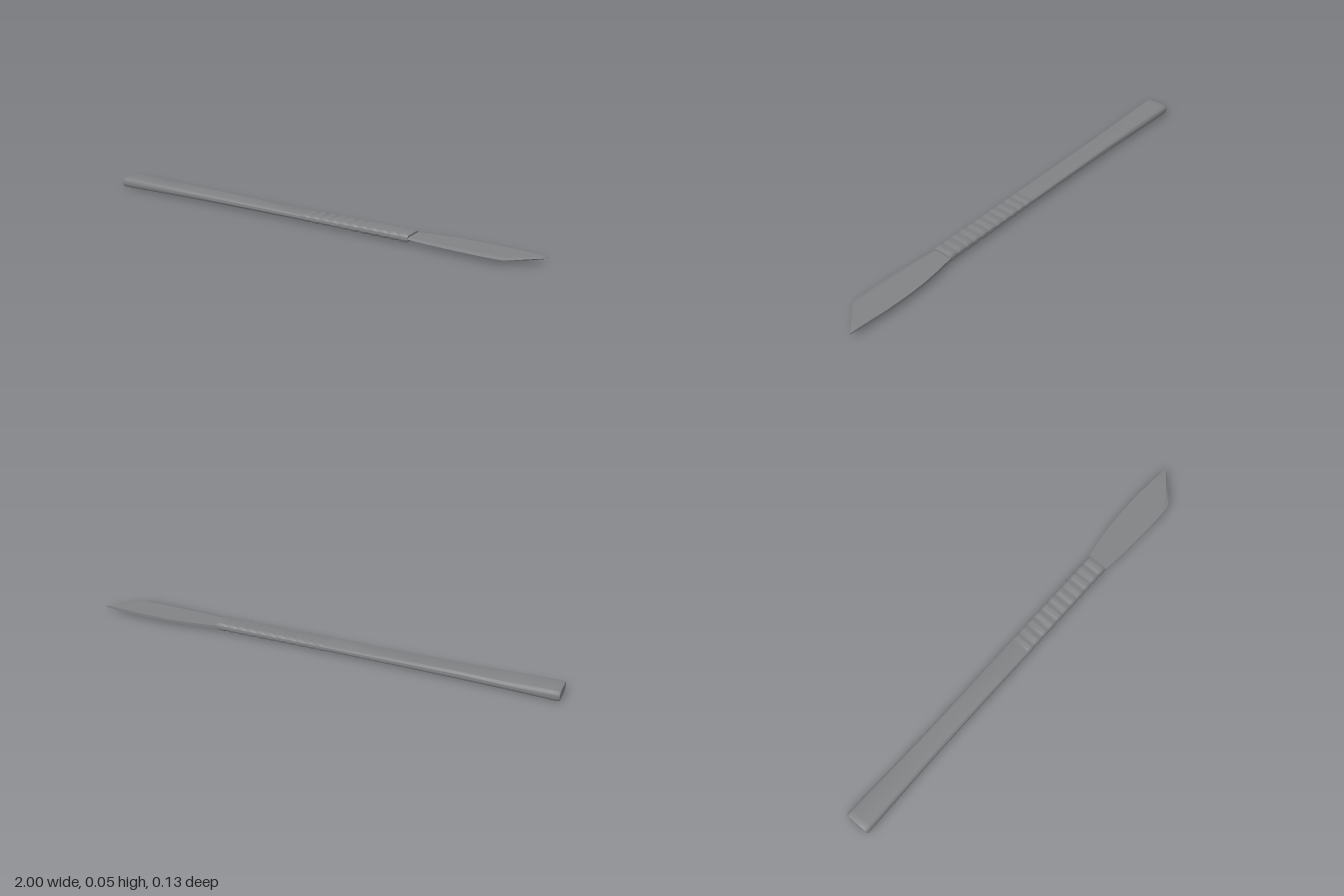
import * as THREE from 'three';
import { toCreasedNormals } from 'three/addons/utils/BufferGeometryUtils.js';

const MID_Y = 0.0235;
const HANDLE_Z = 0.003;

// Closed skin through equal-length rings of [x, y, z] points, running along +x
function loft(rings, crease) {
  const n = rings[0].length;
  const index = [];
  for (let i = 0; i < rings.length - 1; i++) {
    for (let j = 0; j < n; j++) {
      const a = i * n + j, b = i * n + (j + 1) % n;
      index.push(a, a + n, b, b, a + n, b + n);
    }
  }
  const last = (rings.length - 1) * n;
  for (let j = 1; j < n - 1; j++) {
    index.push(0, j, j + 1, last, last + j + 1, last + j);
  }
  const geometry = new THREE.BufferGeometry();
  geometry.setAttribute('position', new THREE.Float32BufferAttribute(rings.flat(2), 3));
  geometry.setIndex(index);
  return toCreasedNormals(geometry, crease);
}

// Rounded rectangle across the handle
function roundedRing(x, halfW, halfH) {
  const r = halfH * 0.85, steps = 6, ring = [];
  for (let q = 0; q < 4; q++) {
    const cz = (q === 0 || q === 3 ? 1 : -1) * (halfW - r);
    const cy = (q < 2 ? 1 : -1) * (halfH - r);
    for (let s = 0; s <= steps; s++) {
      const a = (q + s / steps) * Math.PI / 2;
      ring.push([x, MID_Y + cy + r * Math.sin(a), HANDLE_Z + cz + r * Math.cos(a)]);
    }
  }
  return ring;
}

// Blade section: square spine at the back, ground to an edge at the front
function bladeRing([x, back, edge, half]) {
  const ridge = edge - (edge - back) * 0.14;
  return [
    [x, MID_Y, edge],
    [x, MID_Y + half, ridge], [x, MID_Y + half, back],
    [x, MID_Y - half, back], [x, MID_Y - half, ridge],
  ];
}

export function createModel() {
  const group = new THREE.Group();
  const steel = new THREE.MeshStandardMaterial({ color: 0x808284 });
  steel.name = 'steel grey';
  const add = (name, geometry) => {
    const mesh = new THREE.Mesh(geometry, steel);
    mesh.name = name;
    group.add(mesh);
  };

  // Smooth handle, flaring to the butt end: x, half width, half height
  const handle = [
    [-1, 0.052, 0.0195], [-0.993, 0.0555, 0.0225], [-0.97, 0.0555, 0.0225],
    [-0.8, 0.051, 0.0195], [-0.6, 0.047, 0.017], [-0.4, 0.0455, 0.015],
    [-0.2, 0.045, 0.0135], [-0.03, 0.045, 0.012],
  ];
  add('handle', loft(handle.map((s) => roundedRing(...s)), 0.6));

  // Scalloped grip, slightly thicker toward the blade
  const ribs = 11, steps = 6, grip = [];
  const start = -0.035, end = 0.462;
  for (let i = 0; i <= ribs * steps; i++) {
    const t = i / (ribs * steps);
    const bump = Math.sin(((i % steps) / steps) * Math.PI);
    grip.push(roundedRing(
      start + (end - start) * t,
      0.0435 + 0.002 * bump,
      0.0105 + 0.003 * t + 0.0045 * bump,
    ));
  }
  add('ribbedGrip', loft(grip, 0.75));

  // Blade outline: x, spine z, cutting edge z, half thickness
  const blade = [
    [0.45, -0.040, 0.046, 0.006], [0.5, -0.048, 0.052, 0.006],
    [0.55, -0.056, 0.057, 0.006], [0.62, -0.064, 0.061, 0.006],
    [0.69, -0.068, 0.064, 0.006], [0.76, -0.069, 0.066, 0.006],
    [0.82, -0.068, 0.066, 0.006], [0.86, -0.066, 0.063, 0.006],
    [0.885, -0.064, 0.052, 0.006], [0.92, -0.062, 0.019, 0.006],
    [0.96, -0.059, -0.018, 0.0055], [1, -0.055, -0.0545, 0.002],
  ];
  add('blade', loft(blade.map(bladeRing), 0.3));

  return group;
}
